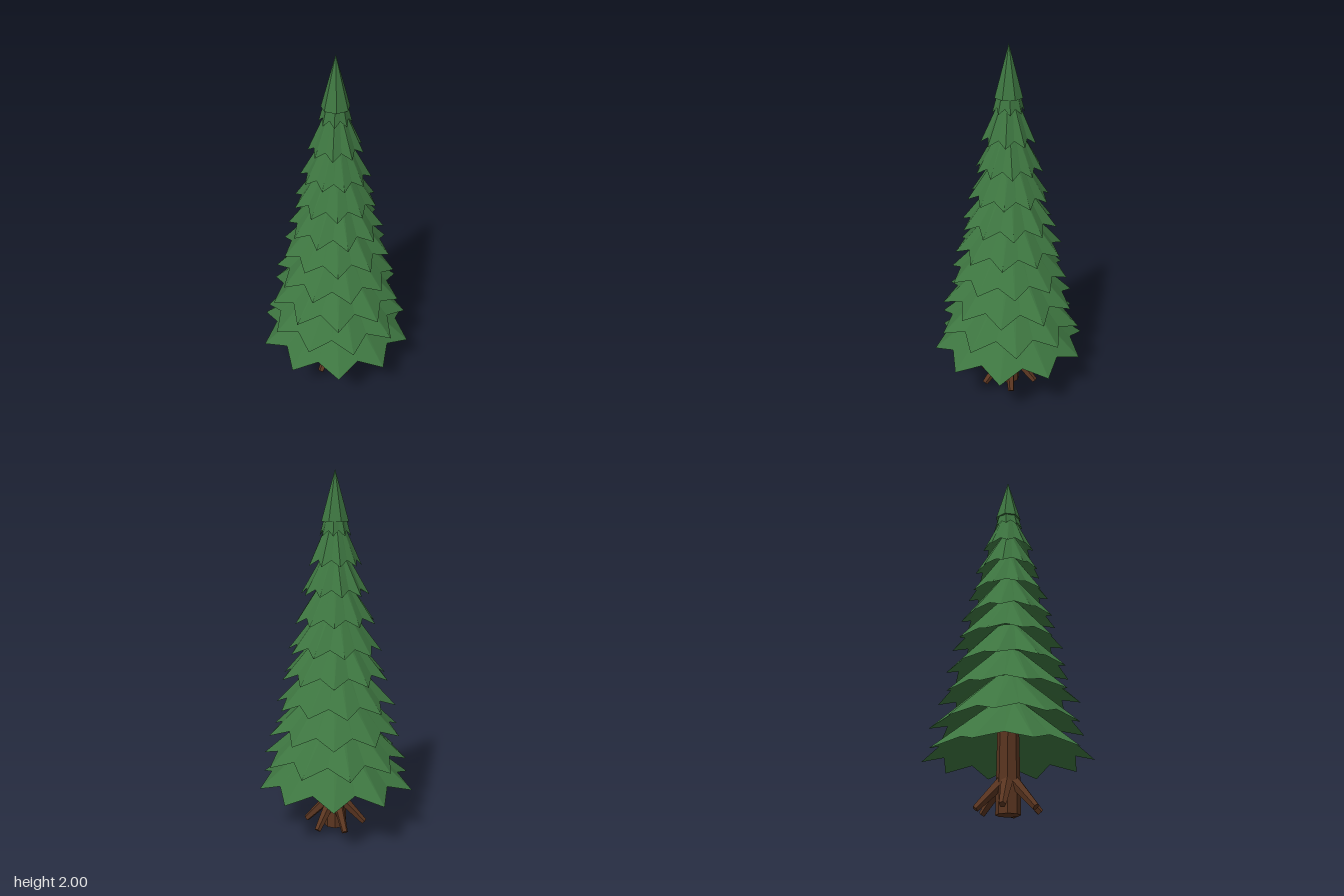
import * as THREE from 'three';

const needleGreen = new THREE.MeshStandardMaterial({ color: 0x3d7540, flatShading: true });
needleGreen.name = 'needleGreen';
const barkBrown = new THREE.MeshStandardMaterial({ color: 0x5a3520, flatShading: true });
barkBrown.name = 'barkBrown';

const polar = (r, y, a) => [r * Math.cos(a), y, r * Math.sin(a)];

// Star-rimmed skirt of branches: sloping top, hollow underside and inner cap
function branchTier(tipY, radius, points, startAngle, seed) {
  const height = 0.23 + 0.13 * radius;
  const count = points * 2;
  const rim = [], top = [], under = [];
  for (let i = 0; i < count; i++) {
    const a = startAngle + (i * Math.PI * 2) / count;
    const isTip = i % 2 === 0;
    const wobble = 1 + 0.015 * Math.sin(i * 2.7 + seed * 1.9);
    rim.push(isTip
      ? polar(radius * wobble, tipY, a)
      : polar(radius * 0.81 * wobble, tipY + 0.025 + radius * 0.055, a));
    top.push(polar(radius * 0.22, tipY + height, a));
    under.push(polar(radius * 0.28, tipY + height * 0.66, a));
  }
  const center = [0, tipY + height * 0.66, 0];
  const positions = [];
  const tri = (a, b, c) => positions.push(...a, ...b, ...c);
  for (let i = 0; i < count; i++) {
    const j = (i + 1) % count;
    tri(rim[i], top[i], rim[j]);
    tri(top[i], top[j], rim[j]);
    tri(rim[i], rim[j], under[i]);
    tri(under[i], rim[j], under[j]);
    tri(under[i], under[j], center);
  }
  const geometry = new THREE.BufferGeometry();
  geometry.setAttribute('position', new THREE.Float32BufferAttribute(positions, 3));
  geometry.computeVertexNormals();
  return geometry;
}

export function createModel() {
  const tree = new THREE.Group();
  tree.name = 'pineTree';

  const add = (parent, name, geometry, material) => {
    const mesh = new THREE.Mesh(geometry, material);
    mesh.name = name;
    parent.add(mesh);
    return mesh;
  };

  // Trunk
  add(tree, 'trunk', new THREE.CylinderGeometry(0.055, 0.064, 0.52, 8), barkBrown).position.y = 0.26;

  // Roots: tapered prisms leaning out from the trunk
  const roots = new THREE.Group();
  roots.name = 'roots';
  tree.add(roots);
  for (let i = 0; i < 6; i++) {
    const a = THREE.MathUtils.degToRad(8 + i * 60 + 3 * Math.sin(i * 2));
    const start = new THREE.Vector3(...polar(0.03, 0.165, a));
    const end = new THREE.Vector3(...polar(0.168, 0.022, a));
    const axis = end.clone().sub(start);
    const root = add(roots, 'root', new THREE.CylinderGeometry(0.018, 0.032, axis.length(), 5), barkBrown);
    root.position.copy(start).add(end).multiplyScalar(0.5);
    root.quaternion.setFromUnitVectors(new THREE.Vector3(0, 1, 0), axis.normalize());
  }

  // Branch tiers: [height of tips, tip radius, number of tips]
  const foliage = new THREE.Group();
  foliage.name = 'foliage';
  tree.add(foliage);
  const tiers = [
    [0.27, 0.445, 10], [0.42, 0.405, 10], [0.575, 0.375, 10], [0.73, 0.335, 10], [0.885, 0.302, 10],
    [1.035, 0.263, 10], [1.19, 0.226, 10], [1.345, 0.186, 10], [1.5, 0.146, 9], [1.655, 0.085, 8],
  ];
  tiers.forEach(([y, radius, points], i) => {
    const start = THREE.MathUtils.degToRad(i % 2 ? 7 : 19);
    add(foliage, 'branchTier', branchTier(y, radius, points, start, i), needleGreen);
  });

  // Pointed crown
  add(foliage, 'crown', new THREE.ConeGeometry(0.075, 0.27, 7), needleGreen).position.y = 1.865;

  return tree;
}
